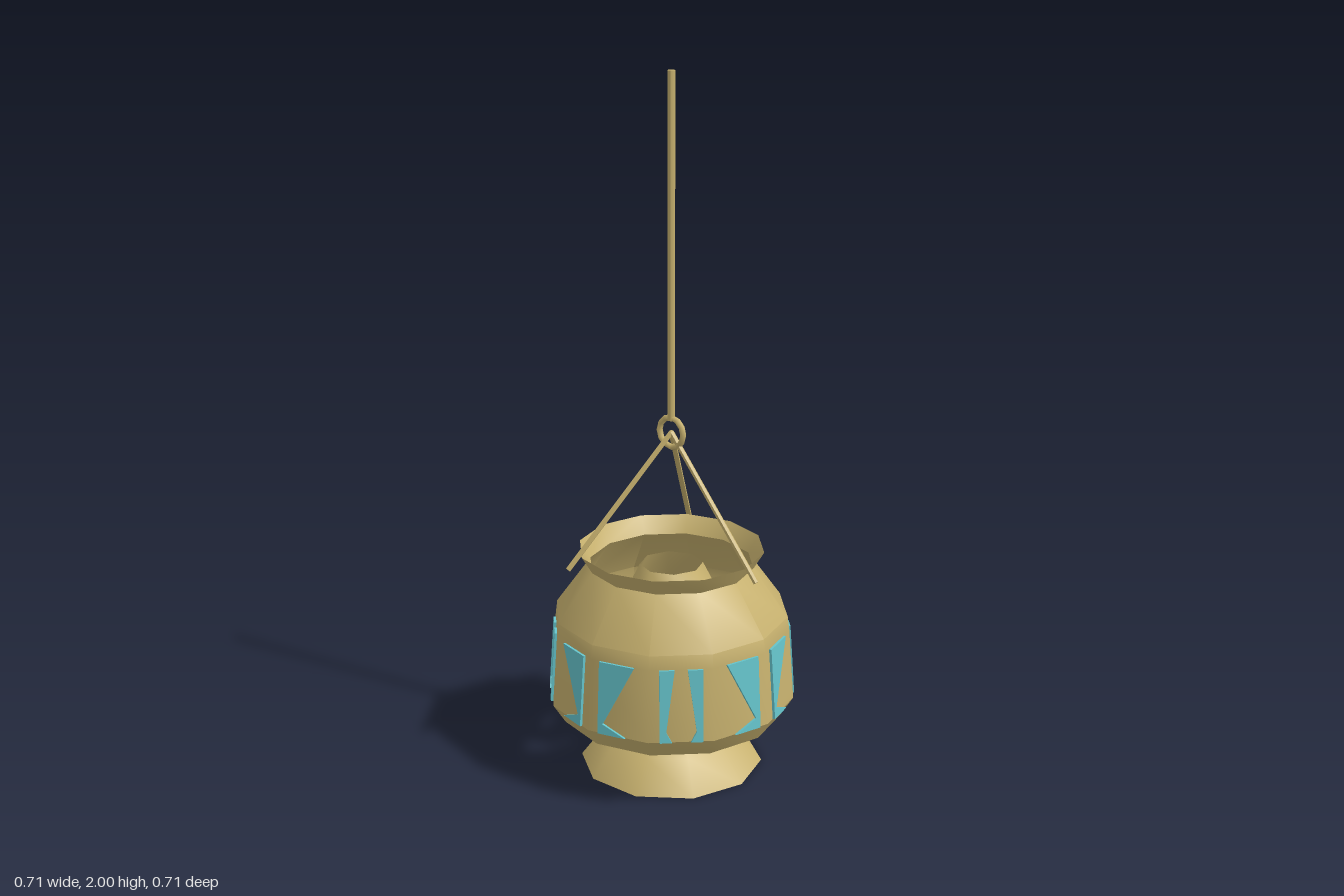
import * as THREE from 'three';
import { toCreasedNormals } from 'three/addons/utils/BufferGeometryUtils.js';

const brass = new THREE.MeshStandardMaterial({ color: 0xc8b26f, side: THREE.DoubleSide });
const teal = new THREE.MeshStandardMaterial({ color: 0x66c5cc, side: THREE.DoubleSide });

const V = (x, y, z) => new THREE.Vector3(x, y, z);

export function createModel() {
  const model = new THREE.Group();

  const add = (name, geometry, material = brass, parent = model) => {
    const mesh = new THREE.Mesh(geometry, material);
    mesh.name = name;
    parent.add(mesh);
    return mesh;
  };

  // Thin turned shell from [radius, height] pairs
  const shell = (name, profile, sides, crease) => {
    const points = profile.map(([r, y]) => new THREE.Vector2(r, y));
    return add(name, toCreasedNormals(new THREE.LatheGeometry(points, sides), crease));
  };

  // Straight rod between two points
  const rod = (name, a, b, radius, sides) => {
    const geometry = new THREE.CylinderGeometry(radius, radius, a.distanceTo(b), sides);
    const mesh = add(name, toCreasedNormals(geometry, 1.1));
    mesh.position.copy(a).lerp(b, 0.5);
    mesh.quaternion.setFromUnitVectors(V(0, 1, 0), b.clone().sub(a).normalize());
    return mesh;
  };

  // Lantern body, flared foot and inner collar
  shell('body', [[0.32, 0.165], [0.355, 0.22], [0.34, 0.43], [0.335, 0.47], [0.235, 0.61], [0.265, 0.66]], 12, 0.56);
  shell('foot', [[0.263, 0], [0.195, 0.09], [0.09, 0.16], [0.045, 0.21]], 10, 0.7);
  shell('innerCollar', [[0.14, 0.51], [0.09, 0.61]], 8, 0.9);

  // Window: wide top tapering to a stem, with a pointed toe at the bottom
  const windowGeometry = (dir, edge, width, stem, depth) => {
    const outline = [
      [0, 0.105], [width, 0.105], [stem, -0.075], [width * 0.8, -0.105], [0, -0.105],
    ].map(([x, y]) => new THREE.Vector2(dir * (x - edge), y));
    const geometry = new THREE.ExtrudeGeometry(new THREE.Shape(outline), { depth, bevelEnabled: false });
    return geometry.translate(0, 0, 0.007 - depth);
  };

  // Windows sit on the twelve sloping wall faces, in four mirrored sets
  const onFace = (degrees) => {
    const face = new THREE.Group();
    face.name = 'windowFace';
    const a = THREE.MathUtils.degToRad(degrees);
    face.rotation.set(-0.069, a, 0, 'YXZ');
    face.position.set(Math.sin(a) * 0.336, 0.325, Math.cos(a) * 0.336);
    model.add(face);
    return face;
  };
  for (let k = 0; k < 4; k++) {
    for (const dir of [1, -1]) {
      const wide = onFace(k * 90 + 45 - dir * 30);
      add('wideWindow', windowGeometry(dir, 0.06, 0.105, 0.014, 0.022), teal, wide);
      const narrow = onFace(k * 90 + 45);
      add('narrowWindow', windowGeometry(dir, 0.06, 0.042, 0.018, 0.022), teal, narrow);
    }
  }

  // Three hanger rods meeting at the ring
  for (let i = 0; i < 3; i++) {
    const a = (i * Math.PI * 2) / 3;
    rod('hangerRod', V(Math.sin(a) * 0.305, 0.63, Math.cos(a) * 0.305), V(0, 1, 0), 0.008, 6);
  }

  // Ring and long suspension rod
  const ring = add('ring', new THREE.TorusGeometry(0.043, 0.009, 6, 12));
  ring.rotation.y = Math.PI / 2;
  ring.position.y = 1;
  rod('suspensionRod', V(0, 1.035, 0), V(0, 2, 0), 0.011, 6);

  return model;
}
